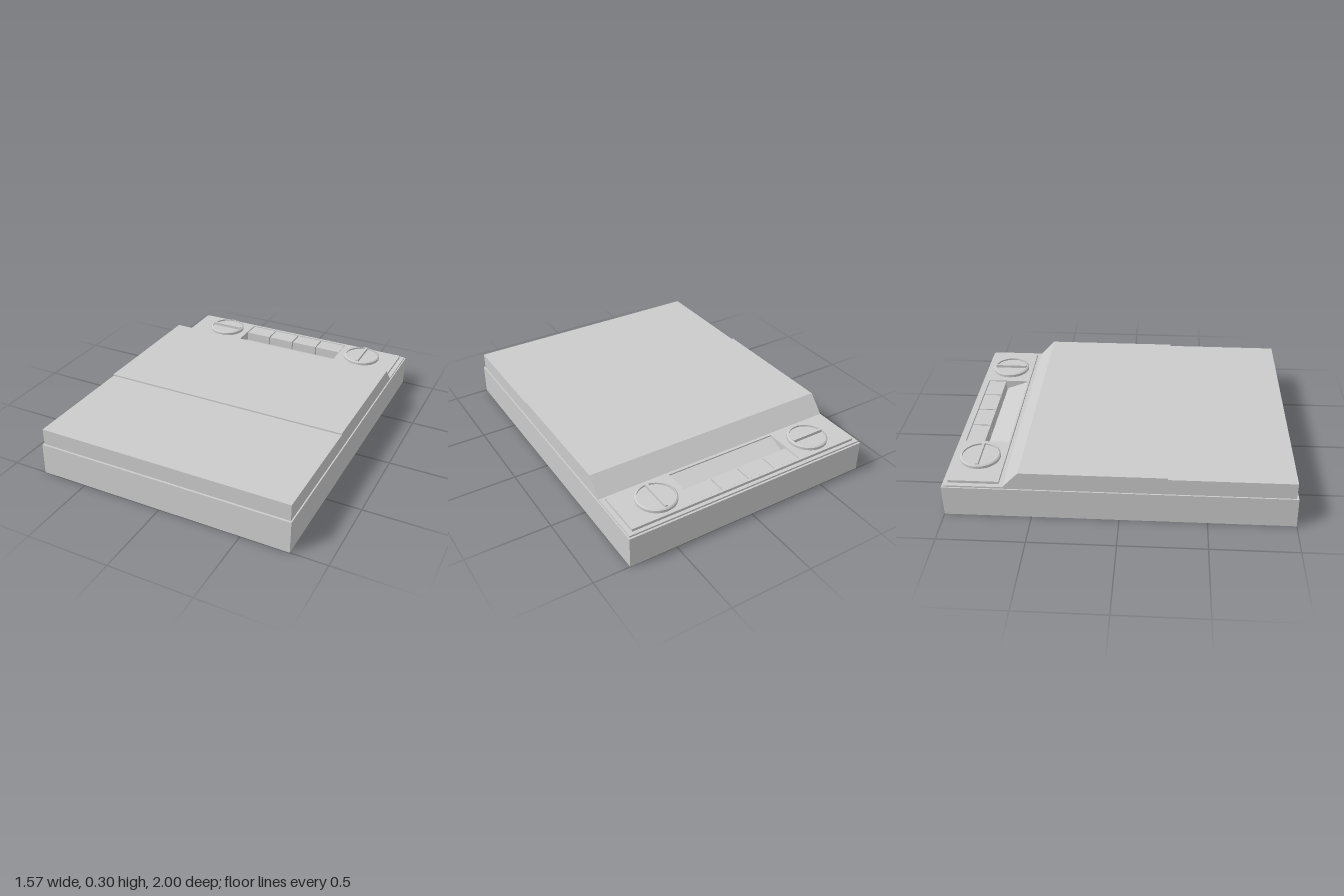
import * as THREE from 'three';

const material = new THREE.MeshStandardMaterial({ color: 0xcccccc, flatShading: true });

function add(parent, name, geometry) {
  const mesh = new THREE.Mesh(geometry, material);
  mesh.name = name;
  parent.add(mesh);
  return mesh;
}

// Box given by its limits on each axis
function block(x0, x1, y0, y1, z0, z1) {
  return new THREE.BoxGeometry(x1 - x0, y1 - y0, z1 - z0)
    .translate((x0 + x1) / 2, (y0 + y1) / 2, (z0 + z1) / 2);
}

function trace(path, x0, x1, z0, z1) {
  path.moveTo(x0, -z1);
  path.lineTo(x1, -z1);
  path.lineTo(x1, -z0);
  path.lineTo(x0, -z0);
  path.closePath();
  return path;
}

// Flat slab with the rectangular key well cut through it
const WELL = [-0.36, 0.355, -0.95, -0.69];
function slabWithWell(x0, x1, y0, y1, z0, z1) {
  const shape = trace(new THREE.Shape(), x0, x1, z0, z1);
  shape.holes.push(trace(new THREE.Path(), ...WELL));
  return new THREE.ExtrudeGeometry(shape, { depth: y1 - y0, bevelEnabled: false })
    .rotateX(-Math.PI / 2).translate(0, y0, 0);
}

// Side profile of [z, y] points, extruded across x
function profile(points, x0, x1) {
  const shape = new THREE.Shape(points.map(([z, y]) => new THREE.Vector2(z, y)));
  return new THREE.ExtrudeGeometry(shape, { depth: x1 - x0, bevelEnabled: false })
    .rotateY(-Math.PI / 2).translate(x1, 0, 0);
}

// Round knob: bevelled rim, sunken face and a raised grip bar
function makeKnob(x, z, turn) {
  const knob = new THREE.Group();
  const rim = [[0, 0.228], [0.106, 0.228], [0.106, 0.238], [0.11, 0.238], [0.118, 0.232], [0.118, 0.21]]
    .reverse().map(([r, y]) => new THREE.Vector2(r, y));
  add(knob, 'knobDial', new THREE.LatheGeometry(rim, 48));
  add(knob, 'knobGrip', block(-0.104, 0.104, 0.22, 0.246, -0.008, 0.008));
  knob.position.set(x, 0, z);
  knob.rotation.y = turn;
  return knob;
}

export function createModel() {
  const model = new THREE.Group();
  model.name = 'cassetteRecorder';

  // Base with a slightly leaning front wall
  const base = new THREE.Group();
  base.name = 'base';
  model.add(base);
  add(base, 'baseBottom', block(-0.785, 0.785, 0, 0.14, -1, 1));
  add(base, 'baseTop', slabWithWell(-0.785, 0.785, 0.14, 0.19, -1, 1));
  for (const mesh of base.children) {
    const p = mesh.geometry.attributes.position;
    for (let i = 0; i < p.count; i++) {
      if (p.getZ(i) > 0.9) p.setZ(i, 1 - 0.04 * p.getY(i));
    }
    mesh.geometry.computeVertexNormals();
  }

  // Stepped lid, sloping down to the control deck
  add(model, 'lid', profile([
    [0.98, 0.18], [0.98, 0.29], [0.268, 0.29], [0.268, 0.3],
    [-0.56, 0.3], [-0.655, 0.2], [-0.655, 0.18],
  ].reverse(), -0.777, 0.777));

  // Control deck and its raised plate
  add(model, 'deck', slabWithWell(-0.777, 0.777, 0.18, 0.2, -0.988, -0.655));
  add(model, 'controlPlate', slabWithWell(-0.75, 0.75, 0.2, 0.216, -0.966, -0.678));

  // Four keys in the well, with a sloping finger rest before them
  const keys = new THREE.Group();
  keys.name = 'keys';
  model.add(keys);
  const pitch = (WELL[1] - WELL[0]) / 4;
  for (let i = 0; i < 4; i++) {
    const x = WELL[0] + i * pitch;
    add(keys, 'key', block(x + 0.004, x + pitch - 0.004, 0.14, 0.212, -0.946, -0.835));
  }
  add(model, 'fingerRest', profile([
    [-0.692, 0.135], [-0.692, 0.21], [-0.825, 0.16], [-0.825, 0.135],
  ].reverse(), WELL[0] + 0.002, WELL[1] - 0.002));

  // Knobs on either side of the keys
  const rightKnob = makeKnob(-0.52, -0.826, 0);
  rightKnob.name = 'rightKnob';
  const leftKnob = makeKnob(0.52, -0.826, Math.PI / 2);
  leftKnob.name = 'leftKnob';
  model.add(rightKnob, leftKnob);

  return model;
}
